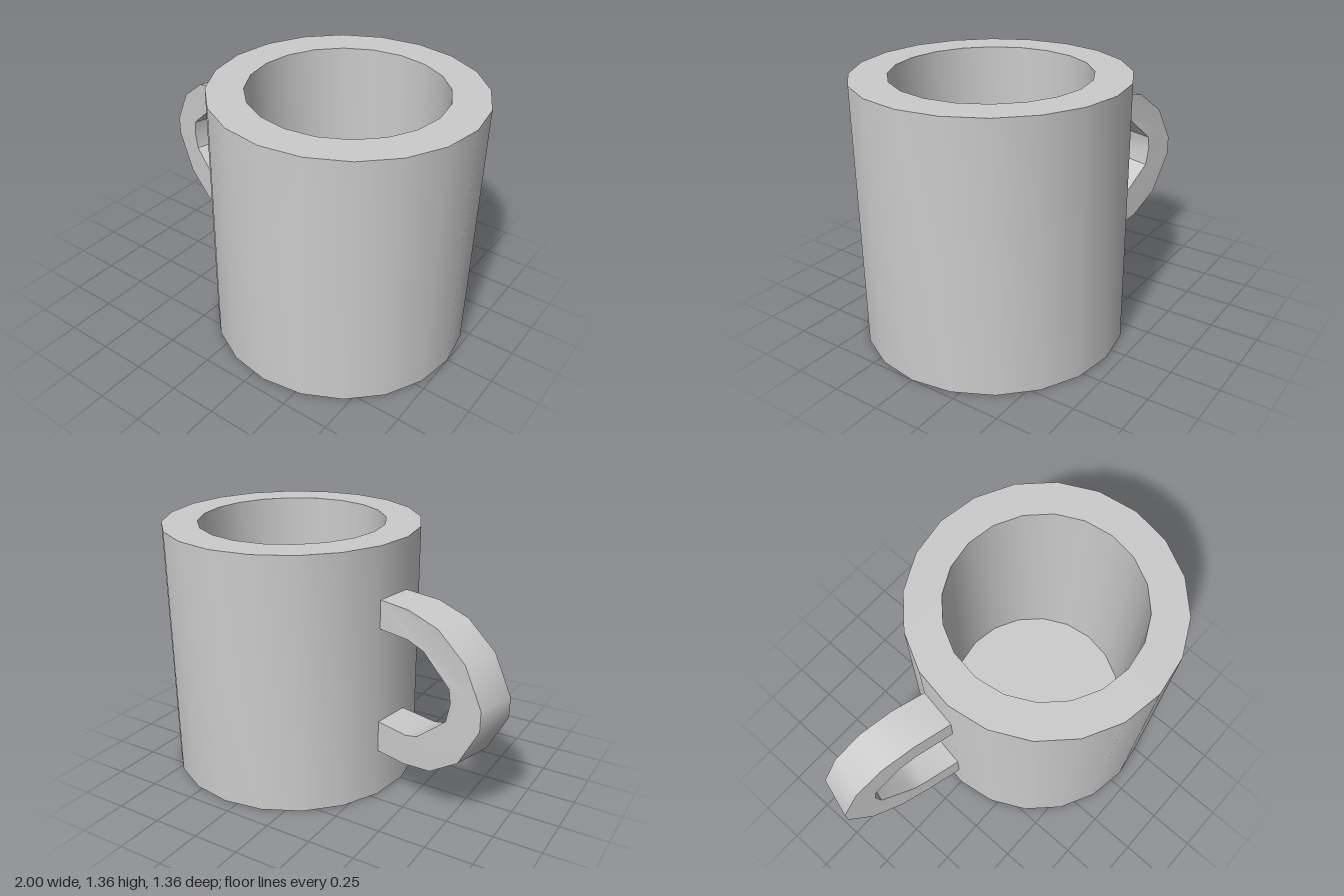
import * as THREE from 'three';
import { toCreasedNormals } from 'three/addons/utils/BufferGeometryUtils.js';

export function createModel() {
  const model = new THREE.Group();
  model.name = 'mug';
  const material = new THREE.MeshStandardMaterial({ color: 0xcccccc });
  const points = (list) => list.map(([x, y]) => new THREE.Vector2(x, y));
  const add = (name, geometry) => {
    const mesh = new THREE.Mesh(toCreasedNormals(geometry, Math.PI / 5), material);
    mesh.name = name;
    model.add(mesh);
    return mesh;
  };

  // Thick-walled cup: up the outside, over the rim, down to the inner floor
  const profile = points([[0, 0], [0.68, 0], [0.68, 1.36], [0.495, 1.36], [0.495, 0.18], [0, 0.18]]);
  add('cup', new THREE.LatheGeometry(profile, 20)).position.x = 0.32;

  // Handle outline: outer edge from top to bottom, then inner edge back up
  const outline = points([
    [-0.36, 1.09], [-0.565, 1.09], [-0.74, 1.045], [-0.9, 0.92], [-1, 0.725],
    [-1, 0.62], [-0.89, 0.41], [-0.73, 0.295], [-0.565, 0.265], [-0.36, 0.26],
    [-0.36, 0.43], [-0.57, 0.43], [-0.64, 0.45], [-0.81, 0.6], [-0.83, 0.7],
    [-0.82, 0.77], [-0.665, 0.91], [-0.57, 0.94], [-0.36, 0.94],
  ]);
  const handle = new THREE.ExtrudeGeometry(new THREE.Shape(outline), { depth: 1, bevelEnabled: false });

  // Slant the handle backwards so its ends lie on one facet of the cup
  const pos = handle.attributes.position;
  for (let i = 0; i < pos.count; i++) {
    const x = pos.getX(i);
    const back = 1 - pos.getZ(i);
    const shift = x > -0.4 ? 0.033 : 0.061;
    pos.setX(i, x + back * shift);
    pos.setZ(i, (x + 0.36) * 0.262 - back * 0.207);
  }
  handle.computeVertexNormals();
  add('handle', handle);

  return model;
}
